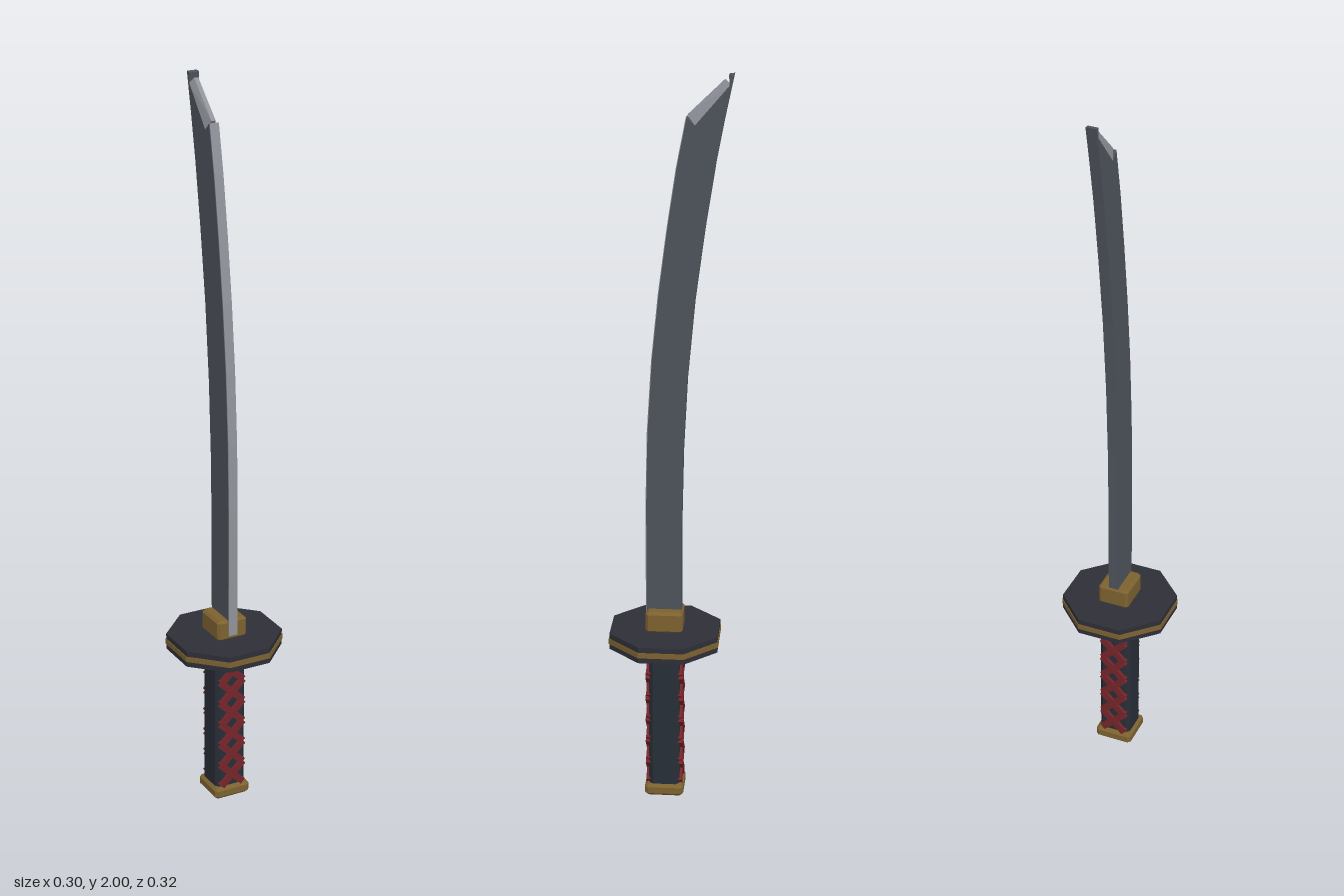
import * as THREE from 'three';
import { ConvexGeometry } from 'three/addons/geometries/ConvexGeometry.js';

const CENTRE_Z = 0.0125;

function material(name, color) {
  const m = new THREE.MeshStandardMaterial({ color });
  m.name = name;
  return m;
}

// Box standing on y = 0 with cut vertical corners and bevelled top and bottom
function chamferBox(w, h, d, cut, bevel) {
  const a = w / 2, b = d / 2;
  const shape = new THREE.Shape([
    [a, -b + cut], [a, b - cut], [a - cut, b], [-a + cut, b],
    [-a, b - cut], [-a, -b + cut], [-a + cut, -b], [a - cut, -b],
  ].map(([x, y]) => new THREE.Vector2(x, y)));
  return new THREE.ExtrudeGeometry(shape, {
    depth: h - 2 * bevel, bevelThickness: bevel, bevelSize: bevel,
    bevelOffset: -bevel, bevelSegments: 1,
  }).rotateX(-Math.PI / 2).translate(0, bevel, 0);
}

// Side outline given as [z, y] points, extruded evenly across x
function slab(points, width) {
  const shape = new THREE.Shape(points.map(([z, y]) => new THREE.Vector2(z, y)));
  return new THREE.ExtrudeGeometry(shape, { depth: width, bevelEnabled: false })
    .rotateY(-Math.PI / 2).translate(width / 2, 0, 0);
}

export function createModel() {
  const steel = material('dark steel', 0x4e535c);
  const edge = material('polished edge', 0x90939a);
  const gold = material('aged gold', 0x7d6230);
  const guardDark = material('dark lacquer', 0x2e2e38);
  const gripDark = material('grip', 0x282e37);
  const red = material('red wrap', 0x74242a);

  const root = new THREE.Group();
  root.name = 'curvedSword';
  const add = (name, geometry, mat, y = 0, z = CENTRE_Z) => {
    const mesh = new THREE.Mesh(geometry, mat);
    mesh.name = name;
    mesh.position.set(0, y, z);
    root.add(mesh);
    return mesh;
  };

  // Curved blade body
  const front = [[0.062, 0.5], [0.062, 0.85], [0.058, 1.05], [0.046, 1.25],
    [0.028, 1.43], [0.006, 1.6], [-0.018, 1.76], [-0.043, 1.89]];
  const tip = [[-0.064, 1.87], [-0.151, 1.972], [-0.149, 1.998], [-0.163, 2]];
  const back = [[-0.142, 1.9], [-0.119, 1.78], [-0.091, 1.6], [-0.066, 1.41],
    [-0.047, 1.2], [-0.037, 1.0], [-0.033, 0.8], [-0.033, 0.5]];
  add('blade', slab([...front, ...tip, ...back], 0.028), steel, 0, 0);

  // Polished strip along the cutting edge
  const outer = front.map(([z, y]) => [z + 0.002, y]);
  add('cuttingEdge', slab([...outer, ...front.slice().reverse()], 0.026), edge, 0, 0);

  // Wedge that forms the slanted point
  const wedge = [];
  for (const s of [-1, 1]) {
    wedge.push(
      new THREE.Vector3(s * 0.014, 1.87, -0.064), new THREE.Vector3(s * 0.014, 1.972, -0.151),
      new THREE.Vector3(s * 0.006, 1.895, -0.045), new THREE.Vector3(s * 0.006, 1.986, -0.139));
  }
  add('pointBevel', new ConvexGeometry(wedge), edge, 0, 0);

  // Collar at the blade root
  add('bladeCollar', chamferBox(0.088, 0.06, 0.1, 0.007, 0.007), gold, 0.487);

  // Octagonal guard in three layers
  const layers = [['guardTop', 0.146, 0.015, 0.4825, guardDark],
    ['guardRim', 0.148, 0.015, 0.4675, gold],
    ['guardBottom', 0.146, 0.015, 0.4525, guardDark]];
  for (const [name, apothem, h, y, mat] of layers) {
    const r = apothem / Math.cos(Math.PI / 8);
    const g = new THREE.CylinderGeometry(r, r, h, 8).toNonIndexed().rotateY(Math.PI / 8);
    g.computeVertexNormals();
    add(name, g, mat, y);
  }

  // Grip with a narrower neck under the guard
  add('grip', chamferBox(0.09, 0.42, 0.084, 0.011, 0.012), gripDark, 0.022);
  add('gripNeck', chamferBox(0.068, 0.03, 0.06, 0.01, 0.002), gripDark, 0.425);

  // Crossed wraps on the front and back of the grip
  const wraps = new THREE.Group();
  wraps.name = 'gripWraps';
  const count = 6, step = 0.064, span = 0.066;
  const strip = new THREE.BoxGeometry(Math.hypot(span, step), 0.019, 0.014);
  for (const side of [-1, 1]) {
    for (let i = 0; i < count; i++) {
      for (const dir of [-1, 1]) {
        const wrap = new THREE.Mesh(strip, red);
        wrap.name = 'wrapStrip';
        wrap.position.set(0, 0.07 + i * step, CENTRE_Z + side * (dir > 0 ? 0.044 : 0.0425));
        wrap.rotation.z = dir * Math.atan2(step, span);
        wraps.add(wrap);
      }
    }
  }
  root.add(wraps);

  // End cap
  add('pommel', chamferBox(0.106, 0.034, 0.106, 0.008, 0.008), gold, 0);

  return root;
}
